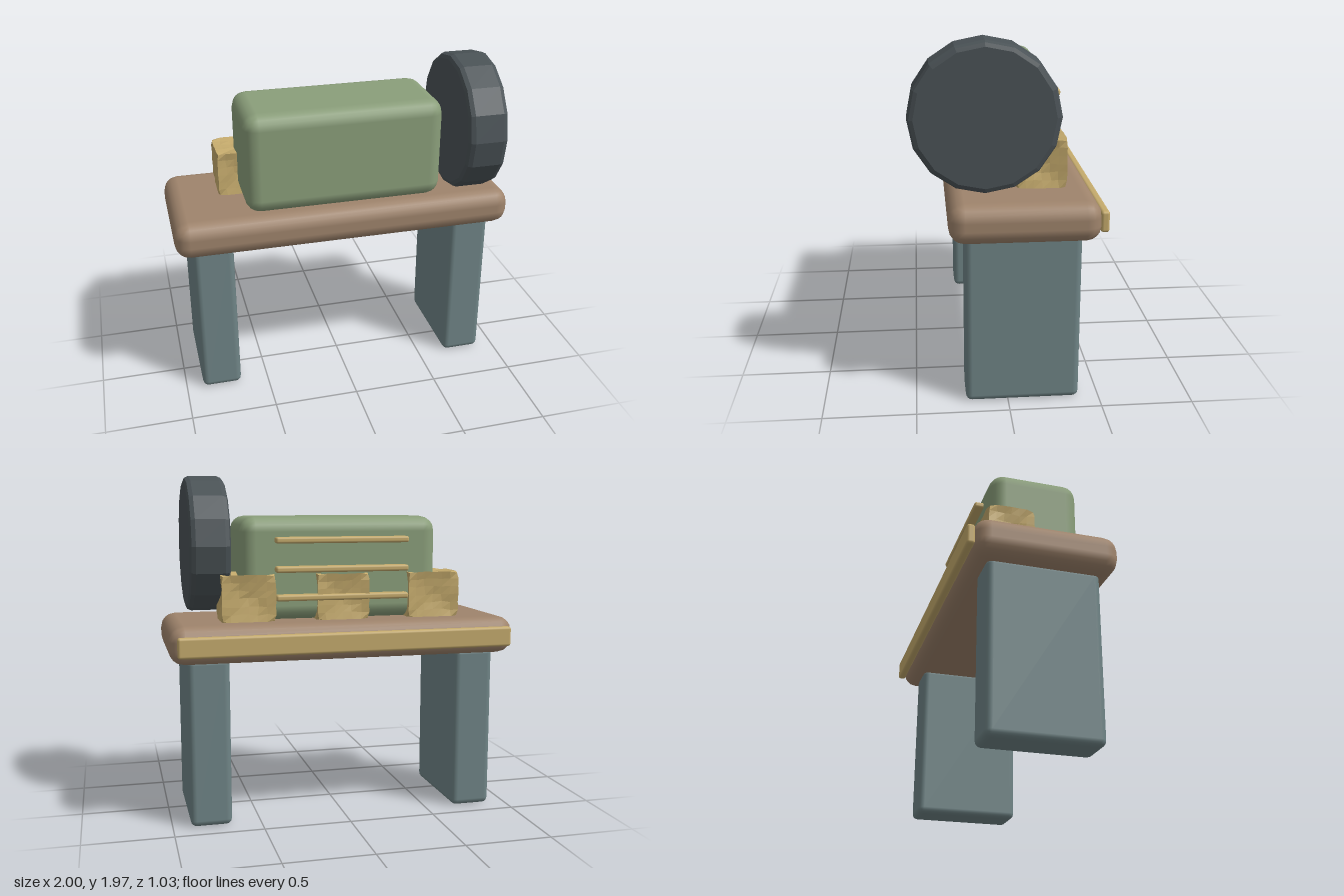
import * as THREE from 'three';
import { RoundedBoxGeometry } from 'three/addons/geometries/RoundedBoxGeometry.js';

const paint = (color, flatShading = false) => new THREE.MeshStandardMaterial({ color, flatShading });
const WOOD = paint(0x9f846c);
const STONE = paint(0x6f8486);
const GREEN = paint(0x8a9e7a);
const DARK = paint(0x4a5256, true);
const BRASS = paint(0xc4aa6c);
const CRUMPLED = paint(0xc4aa6c, true);

// Rounded box given by its [min, max] range on each axis
function block(name, [x0, x1], [y0, y1], [z0, z1], radius, material) {
  const geometry = new RoundedBoxGeometry(x1 - x0, y1 - y0, z1 - z0, 2, radius);
  const mesh = new THREE.Mesh(geometry, material);
  mesh.position.set((x0 + x1) / 2, (y0 + y1) / 2, (z0 + z1) / 2);
  mesh.name = name;
  return mesh;
}

// Repeatable offset in -1..1 for a lattice point, so seams stay closed
function wobble(x, y, z, seed) {
  const s = Math.sin(x * 12.99 + y * 78.23 + z * 37.72 + seed * 9.17) * 43758.55;
  return (s - Math.floor(s)) * 2 - 1;
}

// Box whose faces are pressed in as shallow pyramids, with uneven creases
function crumpledBlock(width, height, depth, seed) {
  const geometry = new THREE.BoxGeometry(2, 2, 2, 6, 6, 6);
  const size = [width / 2, height / 2, depth / 2];
  const pos = geometry.attributes.position;
  for (let i = 0; i < pos.count; i++) {
    const p = [pos.getX(i), pos.getY(i), pos.getZ(i)].map((v) => Math.round(v * 3) / 3);
    const sorted = p.map(Math.abs).sort((a, b) => a - b);
    const dent = 1 - sorted[1];
    const corner = Math.max(0, sorted[0] + sorted[1] - 1.7) * 0.18;
    const moved = p.map((v, axis) => {
      const onFace = Math.abs(v) > 0.99;
      const push = onFace ? 1 - 0.16 * dent - corner - 0.03 * Math.abs(wobble(...p, seed + axis)) : 1;
      const slide = onFace ? 0 : 0.04 * wobble(...p, seed + axis + 5);
      return (v * push + slide) * size[axis];
    });
    pos.setXYZ(i, ...moved);
  }
  geometry.computeVertexNormals();
  return geometry;
}

export function createModel() {
  const model = new THREE.Group();
  model.name = 'benchWithMachine';

  // Bench: top, two slab legs and a trim strip along the back edge
  model.add(block('benchTop', [-1, 1], [0.935, 1.15], [-0.48, 0.315], 0.085, WOOD));
  model.add(block('rightLeg', [-0.9, -0.665], [0, 0.96], [-0.39, 0.23], 0.035, STONE));
  model.add(block('leftLeg', [0.665, 0.9], [0, 0.96], [-0.39, 0.23], 0.035, STONE));
  model.add(block('backTrim', [-0.96, 0.96], [0.985, 1.1], [-0.515, -0.47], 0.015, BRASS));

  // Main housing
  model.add(block('housing', [-0.58, 0.58], [1.145, 1.735], [-0.28, 0.25], 0.085, GREEN));

  // Sixteen-sided wheel with softened rims, axis along x
  const profile = [[0, -0.115], [0.365, -0.115], [0.386, -0.106], [0.396, -0.083],
    [0.396, 0.083], [0.386, 0.106], [0.365, 0.115], [0, 0.115]]
    .map(([r, h]) => new THREE.Vector2(r, h));
  const wheel = new THREE.Mesh(new THREE.LatheGeometry(profile, 16), DARK);
  wheel.name = 'wheel';
  wheel.rotation.z = Math.PI / 2;
  wheel.position.set(0.745, 1.57, 0.117);
  model.add(wheel);

  // Three vent bars on the back of the housing
  for (const y of [1.28, 1.44, 1.604]) {
    model.add(block('ventBar', [-0.39, 0.39], [y - 0.018, y + 0.018], [-0.335, -0.265], 0.013, BRASS));
  }

  // Three crumpled blocks behind the housing
  [-0.545, 0, 0.545].forEach((x, i) => {
    const lump = new THREE.Mesh(crumpledBlock(0.31, 0.27, 0.27, i + 1), CRUMPLED);
    lump.name = 'crumpledBlock';
    lump.position.set(x, 1.28, -0.197);
    model.add(lump);
  });

  return model;
}
